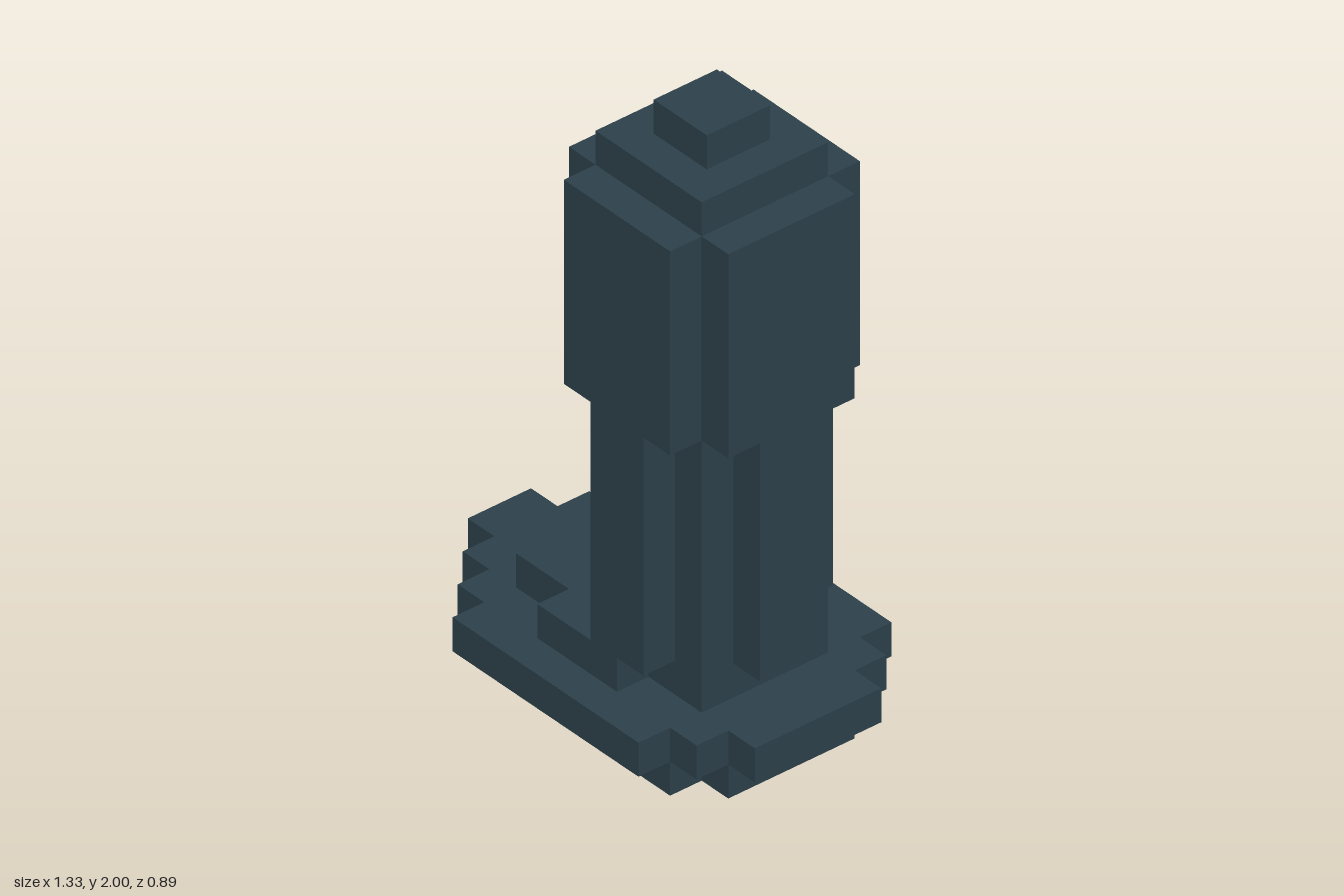
import * as THREE from 'three';

const UNIT = 1 / 9; // size of one block

const slate = new THREE.MeshStandardMaterial({ color: 0x2d414b });
slate.name = 'dark slate';

// Stepped slab: each row is [x0, x1, halfDepth] in blocks, mirrored across z.
function steppedSlab(name, y0, y1, rows) {
  const near = rows.flatMap(([x0, x1, d]) => [[x0, d], [x1, d]]);
  const far = near.map(([x, d]) => [x, -d]).reverse();
  const outline = [...far.reverse(), ...near.reverse()];
  const shape = new THREE.Shape(outline.map(([x, z]) => new THREE.Vector2(x * UNIT, z * UNIT)));
  const geometry = new THREE.ExtrudeGeometry(shape, { depth: (y1 - y0) * UNIT, bevelEnabled: false });
  geometry.rotateX(-Math.PI / 2);
  const mesh = new THREE.Mesh(geometry, slate);
  mesh.name = name;
  mesh.position.y = y0 * UNIT;
  return mesh;
}

export function createModel() {
  const model = new THREE.Group();
  model.name = 'blockTower';
  model.add(
    // Base: recessed foot, wide pointed flange, raised step
    steppedSlab('foot', 0, 1, [[-4, -3, 2], [-3, 4, 3], [4, 5, 2]]),
    steppedSlab('flange', 1, 2, [[-6, -5, 1], [-5, -4, 2], [-4, -3, 3], [-3, 4, 4], [4, 5, 3], [5, 6, 2]]),
    steppedSlab('step', 2, 3, [[-3, -1, 2], [-1, 2, 3], [2, 4, 2]]),
    // Square shaft with a rib on each side
    steppedSlab('ribbedShaft', 3, 10, [[-1, 0, 1], [0, 1, 2], [1, 3, 3], [3, 4, 2], [4, 5, 1]]),
    // Wide head with notched corners, then the stepped top
    steppedSlab('head', 10, 16, [[-1, 0, 2], [0, 4, 3], [4, 5, 2]]),
    steppedSlab('crown', 16, 17, [[0, 4, 2]]),
    steppedSlab('tip', 17, 18, [[1, 3, 1]]),
  );
  return model;
}
